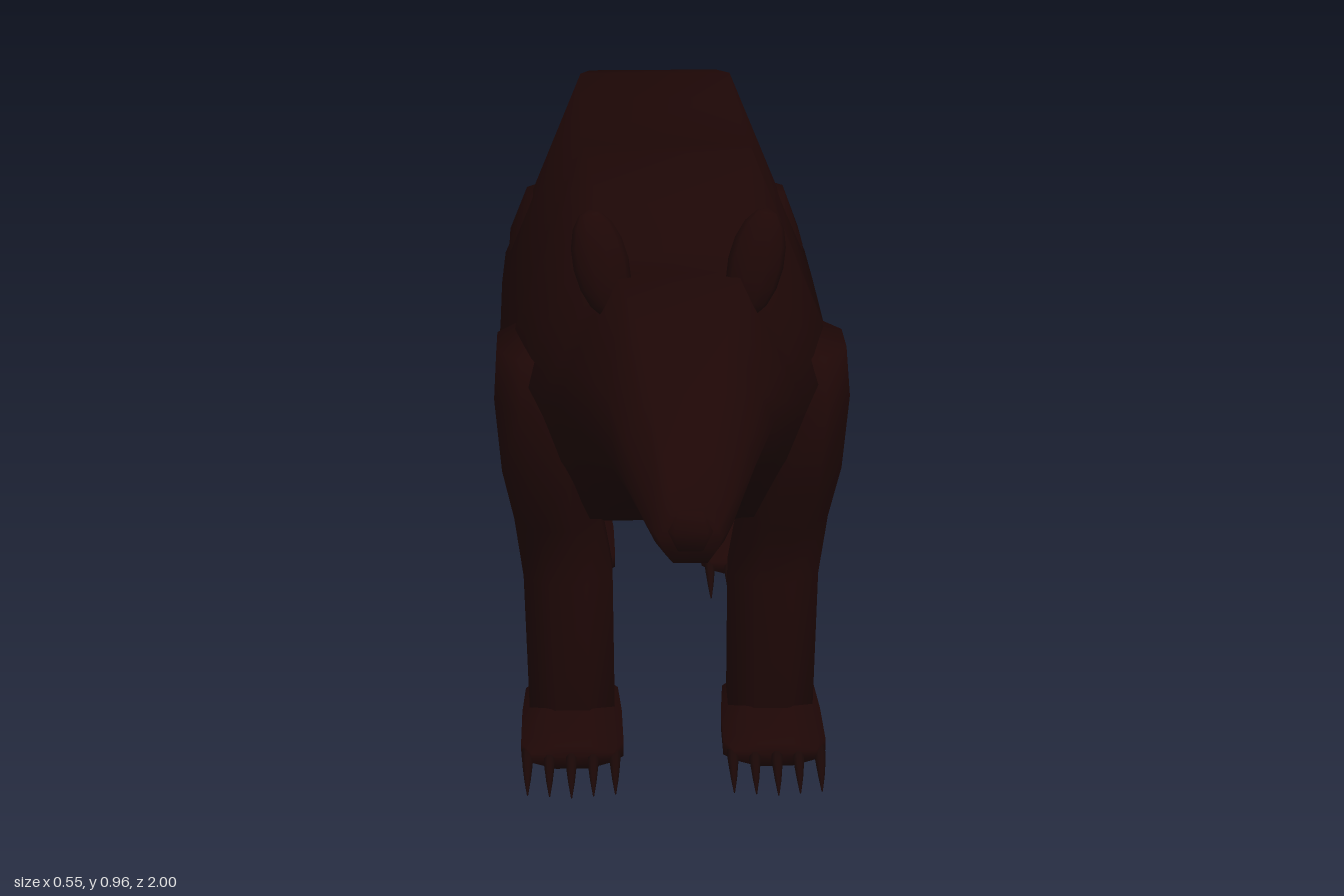
import * as THREE from 'three';

const fur = new THREE.MeshStandardMaterial({ color: 0x1e0706 });
fur.name = 'dark brown fur';
const horn = new THREE.MeshStandardMaterial({ color: 0x190706 });
horn.name = 'dark claw';

// Closed smooth surface through a list of rings of equal length
function loft(rings) {
  const n = rings[0].length, pos = [], idx = [];
  rings.forEach(r => r.forEach(p => pos.push(...p)));
  const centre = r => [0, 1, 2].map(k => r.reduce((s, p) => s + p[k], 0) / n);
  const last = rings.length - 1, c0 = rings.length * n, c1 = c0 + 1;
  pos.push(...centre(rings[0]), ...centre(rings[last]));
  for (let i = 0; i < last; i++) {
    for (let j = 0; j < n; j++) {
      const k = (j + 1) % n, a = i * n, b = a + n;
      idx.push(a + j, b + j, a + k, a + k, b + j, b + k);
    }
  }
  for (let j = 0; j < n; j++) {
    const k = (j + 1) % n;
    idx.push(c0, j, k, c1, last * n + k, last * n + j);
  }
  const g = new THREE.BufferGeometry();
  g.setAttribute('position', new THREE.Float32BufferAttribute(pos, 3));
  g.setIndex(idx);
  g.computeVertexNormals();
  return g;
}

// Octagon whose flat sides touch the unit square
const octagon = Array.from({ length: 8 }, (_, i) => {
  const a = (i + 0.5) / 8 * Math.PI * 2, r = 1 / Math.cos(Math.PI / 8);
  return [r * Math.cos(a), r * Math.sin(a)];
});

// Trunk section with a broad flat back and belly, counter-clockwise seen from the front
const half = [[0.54, -1], [0.8, -0.6], [1, -0.1], [0.84, 0.23], [0.49, 1]];
const trunk = [...half, ...half.map(([u, v]) => [-u, v]).reverse()];

// Rows of [z, top, bottom, half width], from front to back
const loftZ = (rows, section, cx = 0, dz = 0, stretch = 1) => loft(rows.map(([z, t, b, w]) =>
  section.map(([u, v]) => [cx + u * w, (t + b) / 2 + v * (t - b) / 2, z * stretch + dz])));

// Rows of [y, front z, back z, inner x, outer x], from top to bottom
const loftY = (rows, section, side) => loft(rows.map(([y, f, b, i, o]) =>
  section.map(([u, v]) => [side * (i + o) / 2 + u * (o - i) / 2, y, (f + b) / 2 - v * (f - b) / 2])));

const bodyRows = [
  [0.99, 0.685, 0.608, 0.042], [0.96, 0.705, 0.607, 0.057], [0.82, 0.785, 0.61, 0.097],
  [0.75, 0.855, 0.61, 0.125], [0.61, 0.88, 0.55, 0.17], [0.49, 0.86, 0.5, 0.185],
  [0.4, 0.865, 0.455, 0.2], [0.29, 0.91, 0.41, 0.23], [0.14, 0.95, 0.35, 0.262],
  [-0.02, 0.925, 0.32, 0.27], [-0.24, 0.89, 0.295, 0.272], [-0.5, 0.89, 0.29, 0.274],
  [-0.65, 0.9, 0.305, 0.27], [-0.8, 0.873, 0.36, 0.235], [-0.87, 0.8, 0.42, 0.195],
  [-0.9, 0.7, 0.475, 0.15], [-0.917, 0.64, 0.53, 0.06],
];
const frontLegRows = [
  [0.67, 0.31, 0.09, 0.14, 0.268], [0.6, 0.355, 0.08, 0.13, 0.272], [0.48, 0.35, 0.06, 0.12, 0.262],
  [0.39, 0.295, 0.085, 0.11, 0.245], [0.29, 0.27, 0.11, 0.092, 0.232], [0.06, 0.28, 0.14, 0.09, 0.225],
];
const hindLegRows = [
  [0.69, -0.58, -0.7, 0.14, 0.23], [0.6, -0.5, -0.8, 0.12, 0.262], [0.5, -0.46, -0.82, 0.11, 0.26],
  [0.4, -0.435, -0.77, 0.1, 0.248], [0.3, -0.49, -0.675, 0.095, 0.237],
  [0.25, -0.525, -0.71, 0.09, 0.232], [0.18, -0.57, -0.708, 0.09, 0.228], [0.06, -0.57, -0.7, 0.09, 0.225],
];
const footRows = [
  [0.37, 0.062, 0.025, 0.064], [0.34, 0.075, 0.014, 0.08], [0.24, 0.088, 0.01, 0.079],
  [0.17, 0.1, 0.014, 0.074], [0.128, 0.098, 0.022, 0.045],
];
const clawRows = [
  [0.425, 0.003, 0, 0.001], [0.408, 0.028, 0.014, 0.005],
  [0.385, 0.047, 0.028, 0.008], [0.35, 0.055, 0.03, 0.009],
];
const tailRows = [
  [-0.86, 0.69, 0.62, 0.03], [-0.92, 0.66, 0.59, 0.036],
  [-0.97, 0.62, 0.57, 0.03], [-1.0, 0.595, 0.572, 0.013],
];

export function createModel() {
  const model = new THREE.Group();
  model.name = 'bear';
  const add = (name, geometry, material = fur, parent = model) => {
    const mesh = new THREE.Mesh(geometry, material);
    mesh.name = name;
    parent.add(mesh);
    return mesh;
  };

  add('bodyAndHead', loftZ(bodyRows, trunk));
  add('tail', loftZ(tailRows, octagon));

  // Nose pad on the snout tip
  const nose = add('nose', new THREE.SphereGeometry(1, 6, 4));
  nose.scale.set(0.044, 0.038, 0.025);
  nose.position.set(0, 0.652, 0.976);

  for (const side of [1, -1]) {
    const label = side > 0 ? 'left' : 'right';

    // Upright oval ears, rooted in the head and splayed outward
    const ear = add(label + 'Ear', new THREE.SphereGeometry(1, 10, 8));
    ear.scale.set(0.04, 0.08, 0.026);
    ear.position.set(side * 0.11, 0.887, 0.535);
    ear.rotation.set(-0.15, 0, -side * 0.22);

    // Legs with broad feet and five curved claws each
    for (const [end, rows, dz, stretch] of [['Front', frontLegRows, 0, 1], ['Hind', hindLegRows, -0.845, 1.1]]) {
      const leg = new THREE.Group();
      leg.name = label + end + 'Leg';
      model.add(leg);
      add('leg', loftY(rows, octagon, side), fur, leg);
      add('foot', loftZ(footRows, octagon, side * 0.158, dz, stretch), fur, leg);
      for (let i = -2; i <= 2; i++) {
        const back = dz - Math.abs(i) * 0.006;
        add('claw', loftZ(clawRows, octagon, side * 0.16 + i * 0.034, back, stretch), horn, leg);
      }
    }
  }
  return model;
}
